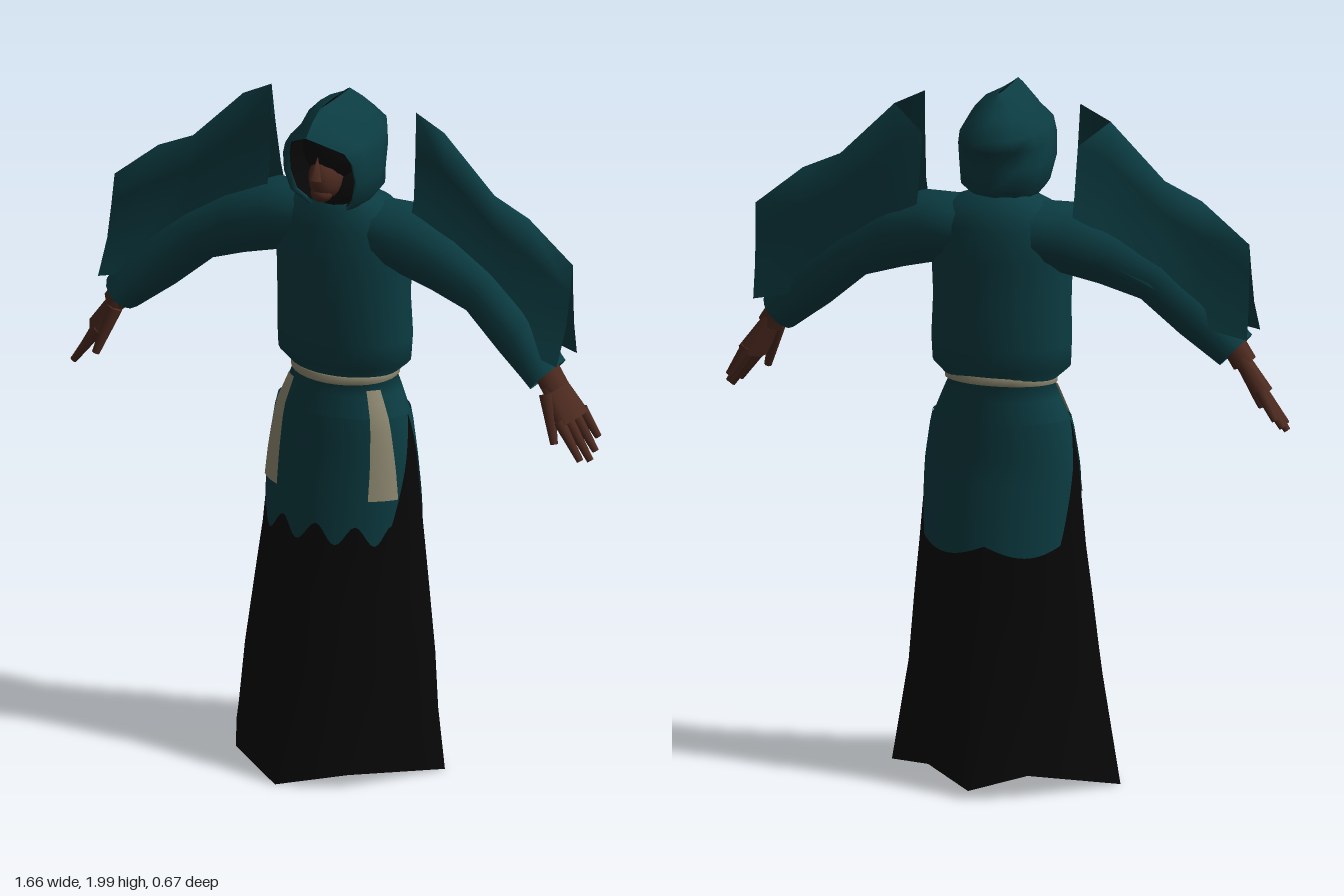
import * as THREE from 'three';

const mat = (name, color) =>
  Object.assign(new THREE.MeshStandardMaterial({ color, side: THREE.DoubleSide }), { name });

// Value of a table row [key, a, b, ...] interpolated at key k (keys ascending)
function sample(table, k) {
  let i = 0;
  while (i < table.length - 2 && k > table[i + 1][0]) i++;
  const a = table[i], b = table[i + 1];
  const t = THREE.MathUtils.clamp((k - a[0]) / (b[0] - a[0]), 0, 1);
  return a.map((v, j) => v + (b[j] - v) * t);
}

// Skin a list of equally long rows of [x, y, z]
function loft(name, rows, material, closed = false) {
  const n = rows[0].length, index = [];
  for (let r = 0; r < rows.length - 1; r++)
    for (let c = 0; c < (closed ? n : n - 1); c++) {
      const a = r * n + c, b = r * n + (c + 1) % n;
      index.push(a, b, b + n, a, b + n, a + n);
    }
  const g = new THREE.BufferGeometry();
  g.setAttribute('position', new THREE.Float32BufferAttribute(rows.flat(2), 3));
  g.setIndex(index);
  g.computeVertexNormals();
  const m = new THREE.Mesh(g, material);
  m.name = name;
  return m;
}

const range = (n, f) => Array.from({ length: n }, (_, i) => f(i));

// Robe outline: height, half width, front z, back z
const ROBE = [
  [0.32, 0.275, 0.25, -0.235], [0.54, 0.255, 0.19, -0.2],
  [0.68, 0.24, 0.16, -0.185], [0.92, 0.22, 0.125, -0.152], [1.05, 0.2, 0.11, -0.146],
  [1.12, 0.17, 0.095, -0.143], [1.165, 0.15, 0.085, -0.138], [1.21, 0.2, 0.112, -0.155],
  [1.28, 0.203, 0.118, -0.165], [1.4, 0.2, 0.122, -0.155], [1.52, 0.205, 0.115, -0.152],
  [1.62, 0.195, 0.1, -0.148], [1.68, 0.15, 0.08, -0.12], [1.71, 0.07, 0.06, -0.08],
];
// Hem corners, counted from the front towards the left side
const HEM = [
  [-0.035, 0.01, 0.335], [0.16, 0.05, 0.265], [0.335, 0.01, 0.01], [0.15, 0.075, -0.235],
  [0, 0.035, -0.335], [-0.155, 0.075, -0.27], [-0.36, 0.01, -0.05], [-0.22, 0.05, 0.22],
];
// Point on the robe at angle a (0 = front) and height y, pushed out by d
function robe(a, y, d = 0) {
  const [, w, f, b] = sample(ROBE, y);
  return [(w + d) * Math.sin(a), y, (f + b) / 2 + ((f - b) / 2 + d) * Math.cos(a)];
}
const SEG = 32;
const ring = (y, d) => range(SEG, i => robe(i / SEG * Math.PI * 2, y, d));

// Thin cloth plate lying on the robe; half angle and hem vary
function plate(name, material, mid, top, hem, halfTop, halfHem, d, nu = 40, nv = 10) {
  const rows = range(nv + 1, j => range(nu + 1, i => {
    const u = i / nu, v = j / nv, half = halfTop + (halfHem - halfTop) * v;
    return robe(mid + (u * 2 - 1) * half, top + (hem(u) - top) * v, d);
  }));
  return loft(name, rows, material);
}

export function createModel() {
  const model = new THREE.Group();
  model.name = 'robedFigure';
  const teal = mat('teal cloth', 0x0b3c42), black = mat('black cloth', 0x070707);
  const skin = mat('brown skin', 0x4c2a1f), cream = mat('cream belt', 0x959077);

  // Skirt with an eight-cornered, zigzag hem
  const hemRing = range(SEG, i => {
    const k = Math.floor(i / 4), t = (i % 4) / 4, next = HEM[(k + 1) % 8];
    return HEM[k].map((v, j) => v + (next[j] - v) * t);
  });
  const heights = ROBE.map(r => r[0]);
  model.add(loft('skirt', [hemRing, ...heights.filter(y => y <= 1.05).map(y => ring(y))], black, true));
  model.add(loft('tunicBody', heights.filter(y => y >= 1.05).map(y => ring(y)), teal, true));

  // Tunic tails with side slits
  model.add(plate('frontTail', teal, 0, 1.06, u => 0.748 - 0.056 * Math.sin(u * Math.PI * 4) ** 2, 1.57, 1.0, 0.005));
  model.add(plate('backTail', teal, Math.PI, 1.06, u => 0.71 - 0.03 * Math.abs(Math.sin(u * Math.PI * 2)), 1.57, 0.98, 0.005));

  // Belt, a little higher at the back, and its two hanging ends
  const beltRing = (dy, d) => ring(1.165, d).map(([x, , z], i) =>
    [x, 1.164 + dy + 0.009 * (1 - Math.cos(i / SEG * Math.PI * 2)), z]);
  model.add(loft('belt', [beltRing(-0.014, 0.004), beltRing(-0.011, 0.012), beltRing(0.011, 0.012), beltRing(0.014, 0.004)], cream, true));
  for (const s of [-1, 1])
    model.add(plate('beltEnd', cream, s * 0.88, 1.14, () => 0.825, 0.14, 0.225, 0.01, 6, 8));

  // Hood rows: height, half width, front z, back z, rim half width
  const HOOD = [
    [1.685, 0.085, 0.085, -0.05, 0.06], [1.73, 0.122, 0.115, -0.14, 0.1],
    [1.79, 0.132, 0.125, -0.108, 0.117], [1.85, 0.13, 0.14, -0.15, 0.112],
    [1.89, 0.12, 0.16, -0.185, 0.095], [1.94, 0.092, 0.215, -0.125, 0],
    [1.975, 0.058, 0.175, -0.085, 0], [2.0, 0.004, 0.13, -0.05, 0],
  ];
  const hoodRow = (y, k, lip, [, w, f, b, r]) => {
    const half = [
      ...(lip ? [[r * 0.87, f - 0.012]] : []),
      [r * k, f - (lip ? 0 : 0.012)], [(r * 0.35 + w * 0.65) * k, f * 0.6], [w * k, f * 0.1],
      [w * 0.9 * k, b * 0.4], [w * 0.55 * k, b * 0.8 * k],
    ];
    return [
      ...half.map(([x, z]) => [x, y, z]), [0, y, b * k],
      ...half.reverse().map(([x, z]) => [-x, y, z]),
    ];
  };
  model.add(loft('hood', HOOD.map(h => hoodRow(h[0], 1, true, h)), teal));
  model.add(loft('hoodLining', HOOD.slice(0, 7).map(h => hoodRow(1.82 + (h[0] - 1.82) * 0.95, 0.87, false, h)), black));

  // Shadowed head, neck and visible lower face
  const blob = (name, material, r, p) => {
    const m = new THREE.Mesh(new THREE.SphereGeometry(1, 14, 10), material);
    m.name = name;
    m.scale.set(...r);
    m.position.set(...p);
    model.add(m);
  };
  blob('head', black, [0.088, 0.09, 0.09], [0, 1.855, 0.045]);
  blob('neck', black, [0.085, 0.075, 0.075], [0, 1.74, 0.02]);
  blob('face', skin, [0.047, 0.065, 0.062], [0, 1.78, 0.092]);
  blob('chin', skin, [0.032, 0.026, 0.032], [0, 1.74, 0.118]);
  const nose = new THREE.Mesh(new THREE.ConeGeometry(0.02, 0.07, 4), skin);
  nose.name = 'nose';
  nose.position.set(0, 1.825, 0.15);
  nose.rotation.x = -0.25;
  model.add(nose);

  // Arm stations: x, y, z, radius across, radius in depth
  const ARM = [
    [0.1, 1.6, -0.025, 0.09, 0.1], [0.21, 1.59, -0.025, 0.105, 0.105], [0.33, 1.545, -0.012, 0.093, 0.08],
    [0.45, 1.485, 0, 0.075, 0.065], [0.57, 1.385, 0.015, 0.077, 0.07], [0.675, 1.285, 0.033, 0.06, 0.075],
  ];
  // Upper edge of the raised sleeve panel
  const PANEL_TOP = [[0.23, 1.98], [0.32, 1.935], [0.48, 1.775], [0.59, 1.725], [0.73, 1.61]];
  // Panel section from back to front: rise, offset as a share of the arm depth
  const PANEL_SECTION = [[0, -0.95], [0.35, -0.5], [0.7, -0.2], [1, 0], [0.7, 0.06], [0.35, 0.18], [0, 0.7]];

  for (const s of [1, -1]) {
    const arm = new THREE.Group();
    arm.name = s > 0 ? 'leftArm' : 'rightArm';
    arm.scale.x = s;
    arm.add(loft('sleeve', ARM.map(([x, y, z, r, rz], i) => {
      const a = ARM[Math.max(i - 1, 0)], b = ARM[Math.min(i + 1, ARM.length - 1)];
      const t = Math.atan2(b[1] - a[1], b[0] - a[0]);
      return range(14, k => {
        const q = k / 14 * Math.PI * 2, c = r * Math.cos(q);
        return [x - c * Math.sin(t), y + c * Math.cos(t), z + rz * Math.sin(q)];
      });
    }), teal, true));

    // Panel rising from the back of the sleeve to a thin edge
    arm.add(loft('sleevePanel', PANEL_TOP.map(([x, top]) => {
      const [, y, z, , rz] = sample(ARM, x), low = Math.max(y, 1.335);
      return PANEL_SECTION.map(([t, d]) => [x, low + (top - low) * t, z + (-0.015 - z) * t + d * rz]);
    }), teal));

    // Hand with four fingers and a thumb
    const hand = new THREE.Group();
    hand.name = 'hand';
    hand.position.set(0.675, 1.29, 0.033);
    hand.rotation.set(0, -0.35, 0.56, 'ZYX');
    const limb = (name, r0, r1, from, to, flat = 1) => {
      const a = new THREE.Vector3(...from), b = new THREE.Vector3(...to), dir = b.clone().sub(a);
      const m = new THREE.Mesh(new THREE.CylinderGeometry(r0, r1, dir.length(), 8), skin);
      m.name = name;
      m.scale.x = flat;
      m.position.copy(a).add(b).multiplyScalar(0.5);
      m.quaternion.setFromUnitVectors(new THREE.Vector3(0, -1, 0), dir.normalize());
      hand.add(m);
    };
    limb('wrist', 0.042, 0.042, [0, 0.03, 0], [0, -0.05, 0], 0.85);
    limb('palm', 0.044, 0.062, [0, -0.03, 0], [0, -0.15, 0], 0.5);
    range(4, i => {
      const z = -0.045 + i * 0.03, len = [0.085, 0.115, 0.13, 0.115][i];
      limb('finger', 0.017, 0.01, [0, -0.135, z], [-0.006 + i * 0.006, -0.145 - len, z * 1.2]);
    });
    limb('thumb', 0.022, 0.011, [-0.005, -0.05, 0.035], [-0.025, -0.185, 0.08]);
    arm.add(hand);
    model.add(arm);
  }
  return model;
}
